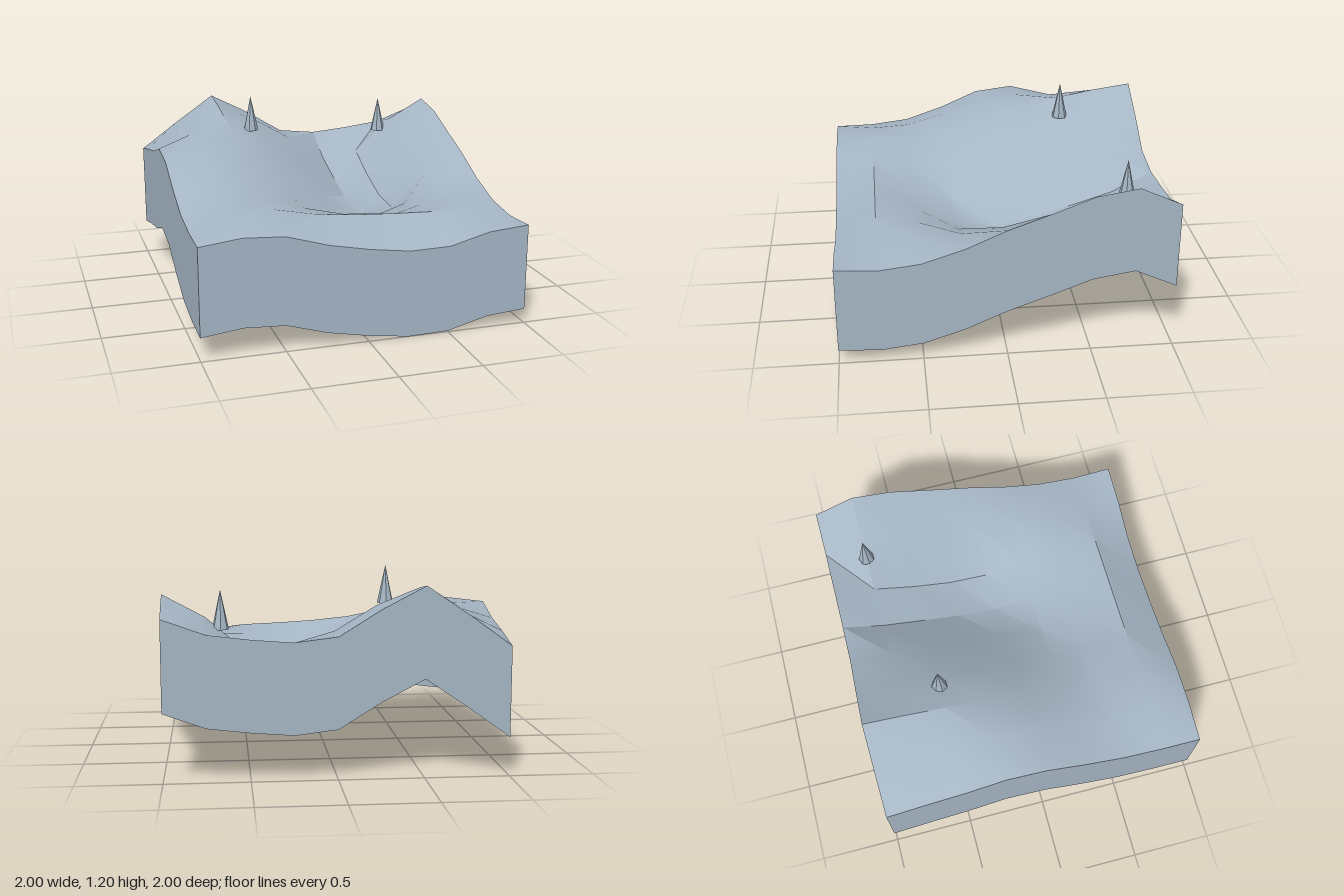
import * as THREE from 'three';
import { toCreasedNormals } from 'three/addons/utils/BufferGeometryUtils.js';

// Terrain heights on a 0.25 grid: rows run back to front, columns run x = -1 to 1
const HEIGHTS = [
  [0.765, 0.945, 1.115, 0.985, 0.83, 0.80, 0.82, 0.85, 0.94],
  [0.82, 0.955, 1.08, 0.98, 0.83, 0.67, 0.70, 0.92, 1.055],
  [0.865, 0.96, 1.03, 0.93, 0.77, 0.59, 0.59, 0.86, 1.015],
  [0.94, 0.97, 0.965, 0.86, 0.69, 0.52, 0.51, 0.76, 0.92],
  [0.91, 0.925, 0.875, 0.76, 0.61, 0.47, 0.49, 0.72, 0.83],
  [0.80, 0.845, 0.79, 0.69, 0.55, 0.51, 0.59, 0.69, 0.72],
  [0.715, 0.775, 0.76, 0.695, 0.635, 0.62, 0.65, 0.66, 0.64],
  [0.685, 0.76, 0.78, 0.73, 0.705, 0.69, 0.68, 0.65, 0.61],
  [0.68, 0.71, 0.695, 0.62, 0.57, 0.535, 0.54, 0.605, 0.625],
];
const N = 8;
const SKIRT = 0.535;

const surfacePoint = (col, row) => [-1 + col * 0.25, HEIGHTS[row][col], -1 + row * 0.25];

// Wall that hangs down from one border of the terrain
function skirtGeometry(pointAt) {
  const geo = new THREE.PlaneGeometry(1, 1, N, 1);
  const pos = geo.attributes.position;
  for (let i = 0; i <= N; i++) {
    const [x, y, z] = pointAt(i);
    pos.setXYZ(i, x, y, z);
    pos.setXYZ(i + N + 1, x, y - SKIRT, z);
  }
  geo.computeVertexNormals();
  return geo;
}

export function createModel() {
  const model = new THREE.Group();
  model.name = 'terrainTile';

  const stone = new THREE.MeshStandardMaterial({ color: 0xa5b5c4, side: THREE.DoubleSide });
  stone.name = 'blueGreyStone';

  const add = (name, geometry) => {
    const mesh = new THREE.Mesh(geometry, stone);
    mesh.name = name;
    model.add(mesh);
    return mesh;
  };

  // Rolling ground surface with a hollow right of the middle
  const ground = new THREE.PlaneGeometry(2, 2, N, N).rotateX(-Math.PI / 2);
  const pos = ground.attributes.position;
  for (let row = 0; row <= N; row++) {
    for (let col = 0; col <= N; col++) {
      pos.setXYZ(row * (N + 1) + col, ...surfacePoint(col, row));
    }
  }
  add('ground', toCreasedNormals(ground, 0.52));

  // Four side walls, open underneath
  add('frontWall', skirtGeometry((i) => surfacePoint(i, N)));
  add('backWall', skirtGeometry((i) => surfacePoint(N - i, 0)));
  add('leftWall', skirtGeometry((i) => surfacePoint(N, N - i)));
  add('rightWall', skirtGeometry((i) => surfacePoint(0, i)));

  // Low-poly conical trees
  const height = 0.23;
  const cone = new THREE.ConeGeometry(0.05, height, 7).rotateY(Math.PI).toNonIndexed();
  cone.computeVertexNormals();
  [[-0.335, 0.965, -0.5], [0.663, 0.848, -0.75]].forEach(([x, y, z], i) => {
    add('tree' + (i + 1), cone).position.set(x, y + height / 2, z);
  });

  return model;
}
